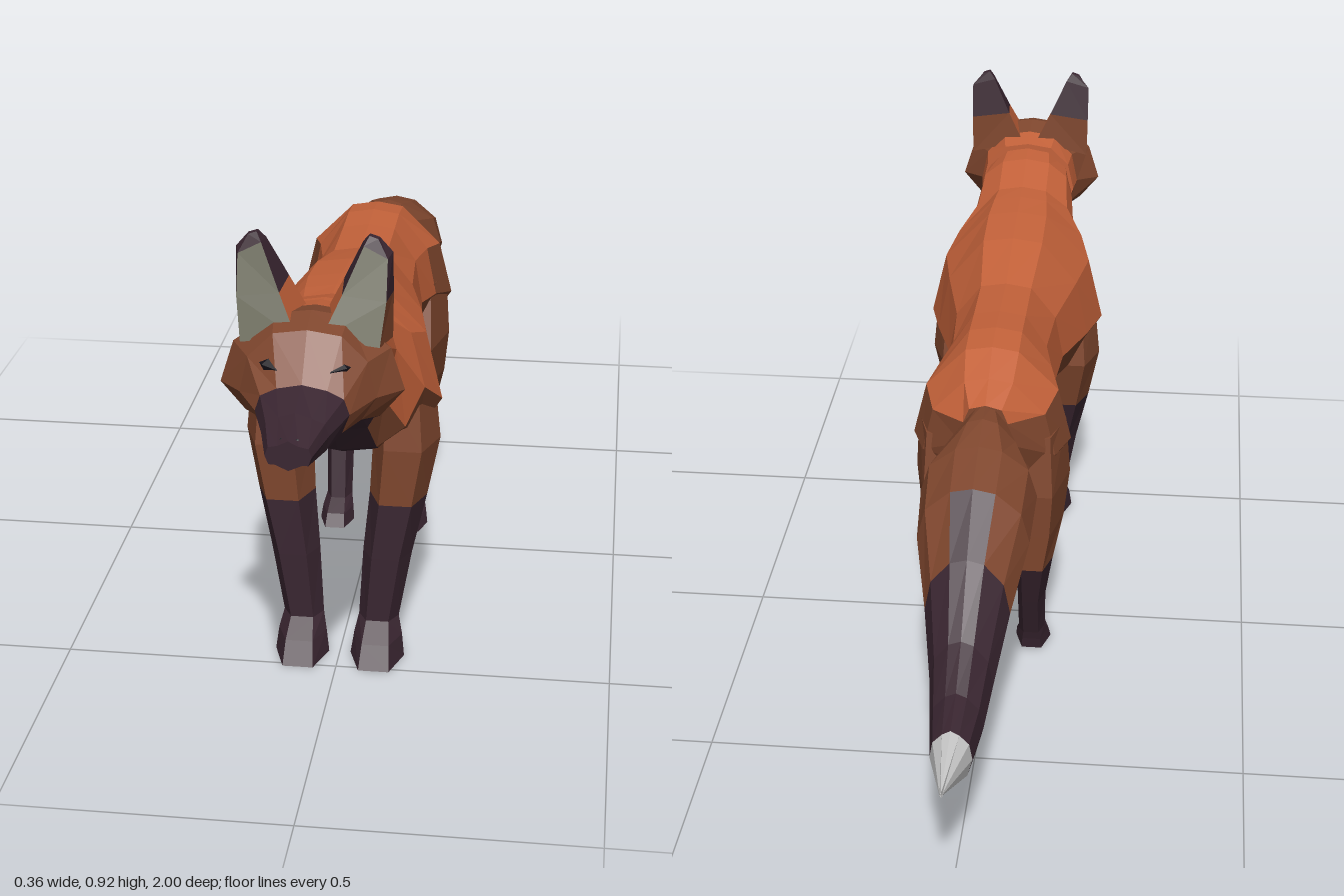
import * as THREE from 'three';

const material = (color) => new THREE.MeshStandardMaterial({ color, flatShading: true, roughness: 0.9 });
const MATERIALS = {
  orange: material(0xc4623a),
  brown: material(0x80472e),
  dark: material(0x3a2631),
  black: material(0x15121a),
  innerEar: material(0x6f6f5f),
  white: material(0xcccccc),
};

// Skins a list of rings, closes both ends and makes one mesh per fur colour.
// colourOf(centre, segment, side) returns a key of MATERIALS.
function loft(name, rings, colourOf) {
  const n = rings[0].length;
  const tris = [];
  const add = (a, b, c, key) => tris.push({ p: [a, b, c], key });
  const centreOf = (pts) => pts.reduce((s, p) => s.add(p), new THREE.Vector3()).divideScalar(pts.length);
  for (let i = 0; i < rings.length - 1; i++) {
    for (let j = 0; j < n; j++) {
      const k = (j + 1) % n;
      const quad = [rings[i][j], rings[i][k], rings[i + 1][k], rings[i + 1][j]];
      const key = colourOf(centreOf(quad), i, j);
      add(quad[0], quad[1], quad[2], key);
      add(quad[0], quad[2], quad[3], key);
    }
  }
  [rings[0], rings[rings.length - 1]].forEach((ring, end) => {
    const c = centreOf(ring);
    const key = colourOf(c, end ? rings.length - 2 : 0, -1);
    for (let j = 0; j < n; j++) {
      const k = (j + 1) % n;
      if (end) add(ring[j], ring[k], c, key);
      else add(ring[k], ring[j], c, key);
    }
  });
  // Turn every face outward
  const volume = tris.reduce((v, { p }) => v + p[0].dot(p[1].clone().cross(p[2])), 0);
  const byKey = {};
  for (const { p, key } of tris) {
    const list = (byKey[key] ??= []);
    (volume < 0 ? [p[0], p[2], p[1]] : p).forEach((v) => list.push(v.x, v.y, v.z));
  }
  const group = new THREE.Group();
  group.name = name;
  for (const key in byKey) {
    const g = new THREE.BufferGeometry();
    g.setAttribute('position', new THREE.Float32BufferAttribute(byKey[key], 3));
    g.computeVertexNormals();
    const mesh = new THREE.Mesh(g, MATERIALS[key]);
    mesh.name = `${name} ${key}`;
    group.add(mesh);
  }
  return group;
}

// Symmetric upright ring: back ridge, flank, widest point, lower flank, belly
function section([z, top, tw, mid, w, bot, bw]) {
  const half = [
    [tw, top - 0.008],
    [tw + (w - tw) * 0.75, mid + (top - mid) * 0.55],
    [w, mid],
    [bw + (w - bw) * 0.6, mid + (bot - mid) * 0.6],
    [bw, bot + 0.01],
  ];
  const left = half.map(([x, y]) => new THREE.Vector3(x, y, z));
  const right = half.map(([x, y]) => new THREE.Vector3(-x, y, z)).reverse();
  return [new THREE.Vector3(0, top, z), ...left, new THREE.Vector3(0, bot, z), ...right];
}

// Level six-sided ring of a leg
function legRing([y, z0, z1, x0, x1], side) {
  const zm = (z0 + z1) / 2, xm = (x1 - x0) * 0.22;
  return [[x0 + xm, z1], [x1 - xm, z1], [x1, zm], [x1 - xm, z0], [x0 + xm, z0], [x0, zm]]
    .map(([x, z]) => new THREE.Vector3(x * side, y, z));
}

export function createModel() {
  const model = new THREE.Group();
  model.name = 'fox';

  // Torso and neck: z, top, ridge half width, widest y, half width, bottom, belly half width
  const body = [
    [0.70, 0.775, 0.04, 0.67, 0.09, 0.59, 0.04],
    [0.60, 0.765, 0.05, 0.68, 0.10, 0.565, 0.05],
    [0.51, 0.737, 0.05, 0.64, 0.11, 0.48, 0.06],
    [0.46, 0.735, 0.055, 0.55, 0.155, 0.42, 0.07],
    [0.39, 0.73, 0.06, 0.50, 0.18, 0.385, 0.07],
    [0.28, 0.718, 0.06, 0.51, 0.155, 0.385, 0.06],
    [0.13, 0.686, 0.05, 0.53, 0.115, 0.43, 0.05],
    [0.00, 0.688, 0.05, 0.53, 0.105, 0.41, 0.05],
    [-0.08, 0.692, 0.05, 0.52, 0.125, 0.40, 0.05],
    [-0.15, 0.685, 0.05, 0.50, 0.15, 0.40, 0.05],
    [-0.22, 0.655, 0.045, 0.50, 0.125, 0.42, 0.045],
    [-0.28, 0.63, 0.03, 0.55, 0.045, 0.48, 0.02],
  ];
  model.add(loft('body', body.map(section), (c) => {
    if (c.z > 0.41 && c.y < 0.62 && Math.abs(c.x) < 0.085) return 'dark';
    return c.y < 0.5 || (c.z < -0.1 && c.y < 0.6) ? 'brown' : 'orange';
  }));

  // Head with broad cheeks and a pointed muzzle
  const head = [
    [0.65, 0.78, 0.05, 0.68, 0.10, 0.58, 0.05],
    [0.70, 0.79, 0.055, 0.68, 0.105, 0.585, 0.05],
    [0.75, 0.80, 0.06, 0.67, 0.15, 0.59, 0.05],
    [0.80, 0.785, 0.055, 0.675, 0.11, 0.61, 0.05],
    [0.86, 0.717, 0.04, 0.67, 0.075, 0.618, 0.045],
    [0.93, 0.70, 0.026, 0.665, 0.053, 0.62, 0.035],
    [1.00, 0.685, 0.016, 0.66, 0.036, 0.636, 0.022],
  ];
  model.add(loft('head', head.map(section), (c) => {
    if (c.z > 0.84 || (c.z > 0.7 && c.y < 0.64)) return 'dark';
    return c.z < 0.72 && c.y > 0.66 ? 'orange' : 'brown';
  }));

  const nose = new THREE.Mesh(new THREE.IcosahedronGeometry(1, 0), MATERIALS.black);
  nose.name = 'nose';
  nose.scale.set(0.026, 0.018, 0.014);
  nose.position.set(0, 0.668, 0.986);
  model.add(nose);

  // Bushy tail: z, top, bottom, half width
  const tail = [
    [-0.26, 0.63, 0.50, 0.035],
    [-0.33, 0.63, 0.435, 0.07],
    [-0.40, 0.612, 0.42, 0.105],
    [-0.50, 0.583, 0.375, 0.10],
    [-0.60, 0.50, 0.29, 0.075],
    [-0.70, 0.40, 0.225, 0.055],
    [-0.78, 0.35, 0.21, 0.046],
    [-0.86, 0.332, 0.22, 0.036],
    [-1.00, 0.312, 0.308, 0.002],
  ];
  model.add(loft('tail', tail.map(([z, t, b, w]) => section([z, t, w * 0.4, (t + b) / 2, w, b, w * 0.4])), (c, i) => {
    if (i === 7) return 'white';
    return i > 3 || (i === 3 && Math.abs(c.x) < 0.03 && c.y > 0.5) ? 'dark' : 'brown';
  }));

  // Leg rings: y, back z, front z, inner x, outer x
  const frontLeg = [
    [0.54, 0.32, 0.44, 0.06, 0.165],
    [0.42, 0.305, 0.455, 0.055, 0.177],
    [0.31, 0.335, 0.452, 0.05, 0.155],
    [0.20, 0.37, 0.452, 0.04, 0.13],
    [0.07, 0.39, 0.448, 0.033, 0.107],
    [0.04, 0.385, 0.485, 0.026, 0.115],
    [0.00, 0.38, 0.51, 0.02, 0.12],
  ];
  const hindLeg = [
    [0.54, -0.23, -0.06, 0.03, 0.14],
    [0.42, -0.245, -0.02, 0.03, 0.148],
    [0.33, -0.24, -0.055, 0.04, 0.138],
    [0.25, -0.235, -0.128, 0.047, 0.12],
    [0.15, -0.193, -0.112, 0.05, 0.105],
    [0.05, -0.15, -0.09, 0.05, 0.102],
    [0.03, -0.143, -0.055, 0.045, 0.108],
    [0.005, -0.137, -0.04, 0.042, 0.112],
  ];
  // Ear rings: inner front, outer front, outer back, inner back
  const ear = [
    [[0.02, 0.765, 0.785], [0.112, 0.75, 0.775], [0.125, 0.74, 0.70], [0.015, 0.775, 0.68]],
    [[0.05, 0.83, 0.76], [0.12, 0.82, 0.755], [0.126, 0.82, 0.70], [0.045, 0.835, 0.69]],
    [[0.082, 0.905, 0.735], [0.12, 0.885, 0.735], [0.126, 0.89, 0.712], [0.078, 0.905, 0.708]],
    [[0.09, 0.92, 0.727], [0.104, 0.915, 0.727], [0.105, 0.915, 0.715], [0.09, 0.92, 0.715]],
  ];
  for (const side of [1, -1]) {
    const label = side > 0 ? 'left' : 'right';
    const legColour = (limit) => (c) => (c.y > limit ? 'brown' : 'dark');
    model.add(loft(`${label} front leg`, frontLeg.map((r) => legRing(r, side)), legColour(0.32)));
    model.add(loft(`${label} hind leg`, hindLeg.map((r) => legRing(r, side)), legColour(0.26)));

    const earRings = ear.map((ring) => ring.map(([x, y, z]) => new THREE.Vector3(x * side, y, z)));
    model.add(loft(`${label} ear`, earRings, (c, i, j) => {
      if (j === 0 && i < 2) return 'innerEar';
      if (i > 0) return 'dark';
      return j === 3 ? 'orange' : 'brown';
    }));

    // Slanted eye set into the brow
    const eye = new THREE.Mesh(new THREE.OctahedronGeometry(1, 0), MATERIALS.black);
    eye.name = `${label} eye`;
    eye.scale.set(0.026, 0.013, 0.012);
    eye.position.set(0.06 * side, 0.732, 0.824);
    eye.rotation.set(-0.5, 0.7 * side, 0.35 * side);
    model.add(eye);
  }
  return model;
}
